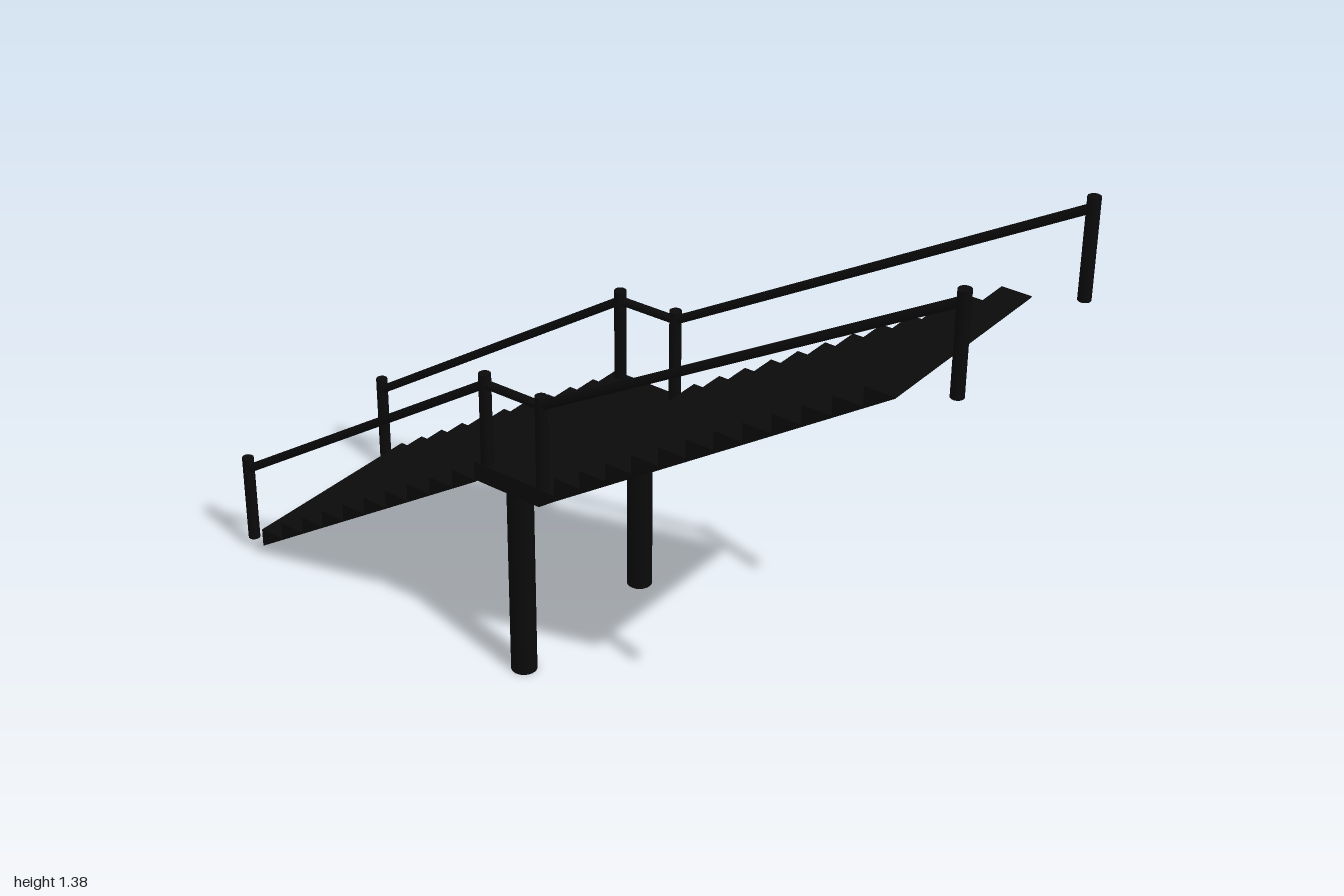
import * as THREE from 'three';

const RUN = 0.0713, RISE = 0.0469;
const material = new THREE.MeshStandardMaterial({ color: 0x0a0a0a });

function add(parent, name, geometry) {
  const mesh = new THREE.Mesh(geometry, material);
  mesh.name = name;
  parent.add(mesh);
  return mesh;
}

// Round bar between two points
function bar(parent, name, a, b, radius, sides = 16) {
  const dir = b.clone().sub(a);
  const mesh = add(parent, name, new THREE.CylinderGeometry(radius, radius, dir.length(), sides));
  mesh.position.copy(a).add(b).multiplyScalar(0.5);
  mesh.quaternion.setFromUnitVectors(new THREE.Vector3(0, 1, 0), dir.normalize());
}

// Side profile extruded across the width of the stairs
function slab(parent, name, points) {
  const width = 0.518;
  const shape = new THREE.Shape(points.map(([x, y]) => new THREE.Vector2(x, y)));
  const geometry = new THREE.ExtrudeGeometry(shape, { depth: width, bevelEnabled: false });
  add(parent, name, geometry.translate(0, 0, -width / 2));
}

// Stepped top edge, rising towards +x
function steps(x, y, count) {
  const points = [];
  for (let i = 0; i < count; i++) {
    points.push([x + i * RUN, y + (i + 1) * RISE], [x + (i + 1) * RUN, y + (i + 1) * RISE]);
  }
  return points;
}

export function createModel() {
  const group = new THREE.Group();
  group.name = 'staircase';

  // Two flights with a landing between them
  slab(group, 'lowerFlight', [[-0.94, 0.028], ...steps(-0.94, 0.03, 10), [-0.227, 0.495]]);
  slab(group, 'landing', [[-0.23, 0.5], [-0.042, 0.5], [0.003, 0.532], [0.003, 0.547], [-0.23, 0.547]]);
  slab(group, 'upperFlight', [[0.003, 0.532], [0.003, 0.547], ...steps(0.003, 0.547, 12), [0.8586, 1.107]]);

  // Handrail posts: bottom height, and the height where the rail meets each
  const posts = [
    { x: -0.9855, base: 0.03, rail: 0.23 },
    { x: -0.203, base: 0.547, rail: 0.753 },
    { x: -0.042, base: 0.547, rail: 0.755 },
    { x: 0.9855, base: 1.15, rail: 1.358 },
  ];
  for (const side of [1, -1]) {
    const z = side * 0.244;
    const railing = new THREE.Group();
    railing.name = side > 0 ? 'frontRailing' : 'backRailing';
    group.add(railing);
    posts.forEach((p, i) => {
      bar(railing, 'railPost', new THREE.Vector3(p.x, p.base, z), new THREE.Vector3(p.x, p.base + 0.233, z), 0.0145);
      const next = posts[i + 1];
      if (next) {
        bar(railing, 'handrail', new THREE.Vector3(p.x, p.rail, z), new THREE.Vector3(next.x, next.rail, z), 0.0105);
      }
    });

    // Support column under the landing
    const cz = side * 0.222;
    bar(group, 'supportColumn', new THREE.Vector3(-0.127, 0, cz), new THREE.Vector3(-0.127, 0.505, cz), 0.031, 24);
  }
  return group;
}
